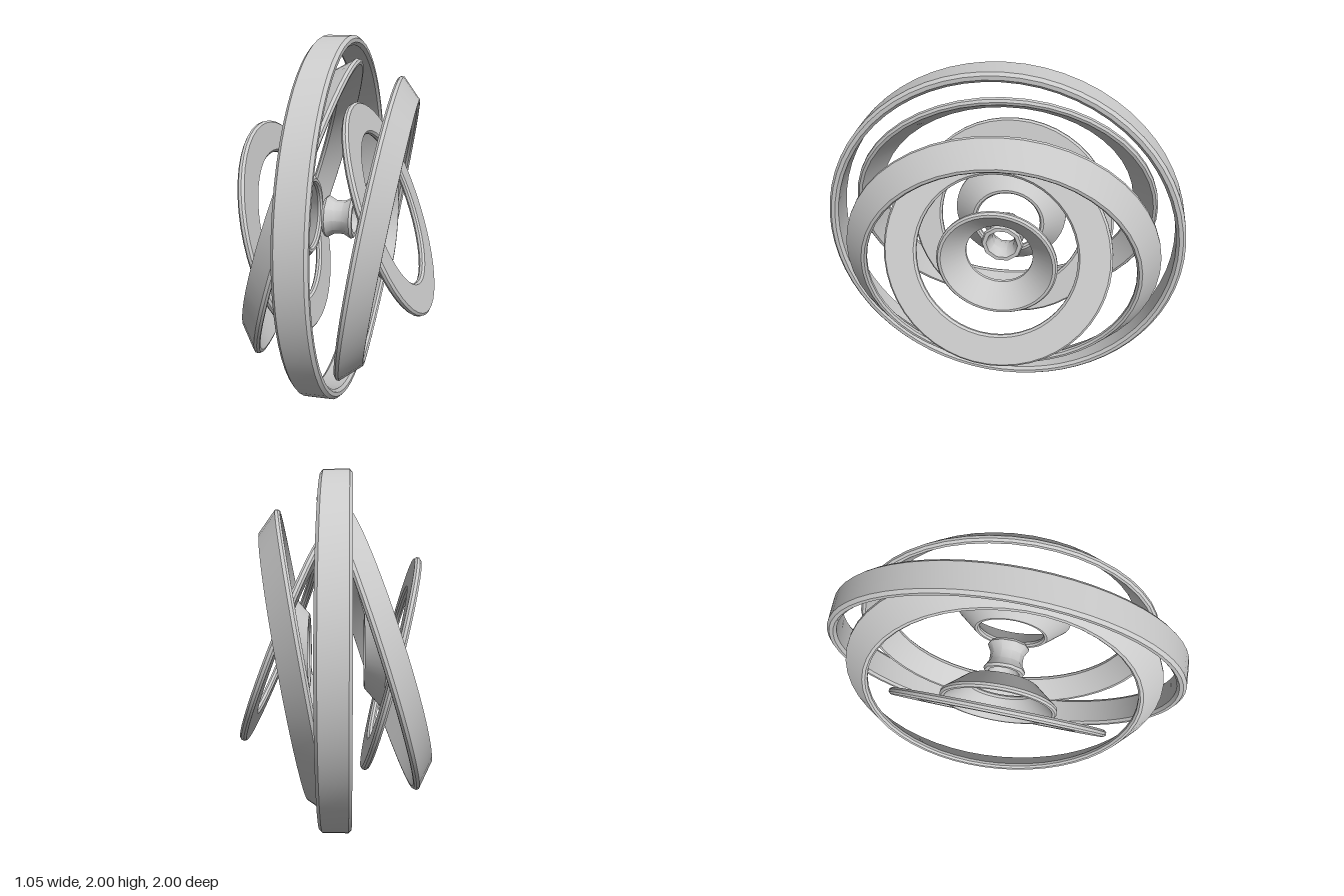
import * as THREE from 'three';
import { toCreasedNormals } from 'three/addons/utils/BufferGeometryUtils.js';

const material = new THREE.MeshStandardMaterial({ color: 0xcccccc });
const rad = THREE.MathUtils.degToRad;

// Closed band section with chamfered edges, from (r0, a0) to (r1, a1): radius, axial position
function bandProfile(r0, a0, r1, a1, thickness) {
  const mid = new THREE.Vector2((r0 + r1) / 2, (a0 + a1) / 2);
  const along = new THREE.Vector2(r1 - r0, a1 - a0);
  const L = along.length() / 2, t = thickness / 2, c = t * 0.6;
  along.normalize();
  const corners = [
    [-L + c, -t], [L - c, -t], [L, -t + c], [L, t - c],
    [L - c, t], [-L + c, t], [-L, t - c], [-L, -t + c], [-L + c, -t],
  ];
  return corners.map(([u, v]) => new THREE.Vector2(
    mid.x + along.x * u - along.y * v,
    mid.y + along.y * u + along.x * v,
  ));
}

// Ring spun around the x axis, then rolled and turned into place
function ring(name, profile, position, roll = 0, turn = 0, segments = 48) {
  const spun = new THREE.LatheGeometry(profile, segments);
  spun.rotateZ(-Math.PI / 2);
  const mesh = new THREE.Mesh(toCreasedNormals(spun, 0.7), material);
  mesh.name = name;
  mesh.position.set(...position);
  mesh.rotation.set(0, rad(turn), rad(roll), 'YZX');
  return mesh;
}

export function createModel() {
  const model = new THREE.Group();
  model.name = 'nestedRings';
  const rings = new THREE.Group();
  rings.name = 'rings';
  rings.position.set(-0.02, 1, 0);
  model.add(rings);

  // Upright outer band
  rings.add(ring('outerRing', bandProfile(0.974, -0.085, 0.974, 0.085, 0.052), [0, 0, 0], 0, 0, 64));

  // Large tilted cone bands, wide edge towards the centre
  rings.add(ring('largeRingLeft', bandProfile(0.855, -0.063, 0.735, 0.06, 0.038), [0.23, -0.07, -0.02], -10, 4));
  rings.add(ring('largeRingRight', bandProfile(0.735, -0.06, 0.86, 0.063, 0.038), [-0.215, 0.068, 0.015], -17.7, 5));

  // Flat tilted rings
  const flat = bandProfile(0.435, 0, 0.615, 0, 0.038);
  rings.add(ring('flatRingLeft', flat, [0.295, 0.07, 0], 21.5, -2));
  rings.add(ring('flatRingRight', flat, [-0.3, -0.07, 0], 14, -2));

  // Small cone bands, wide edge away from the centre
  rings.add(ring('innerRingLeft', bandProfile(0.19, -0.06, 0.325, 0.06, 0.036), [0.22, 0, 0]));
  rings.add(ring('innerRingRight', bandProfile(0.325, -0.06, 0.19, 0.06, 0.036), [-0.22, 0, 0]));

  // Hollow spool at the centre
  const spool = [
    [0.065, -0.03], [0.09, -0.085], [0.112, -0.085], [0.12, -0.07], [0.095, -0.025],
    [0.095, 0.025], [0.12, 0.07], [0.112, 0.085], [0.09, 0.085], [0.065, 0.03], [0.065, -0.03],
  ].map(([r, a]) => new THREE.Vector2(r, a));
  rings.add(ring('hub', spool, [0, 0, 0], 0, 0, 10));

  return model;
}
